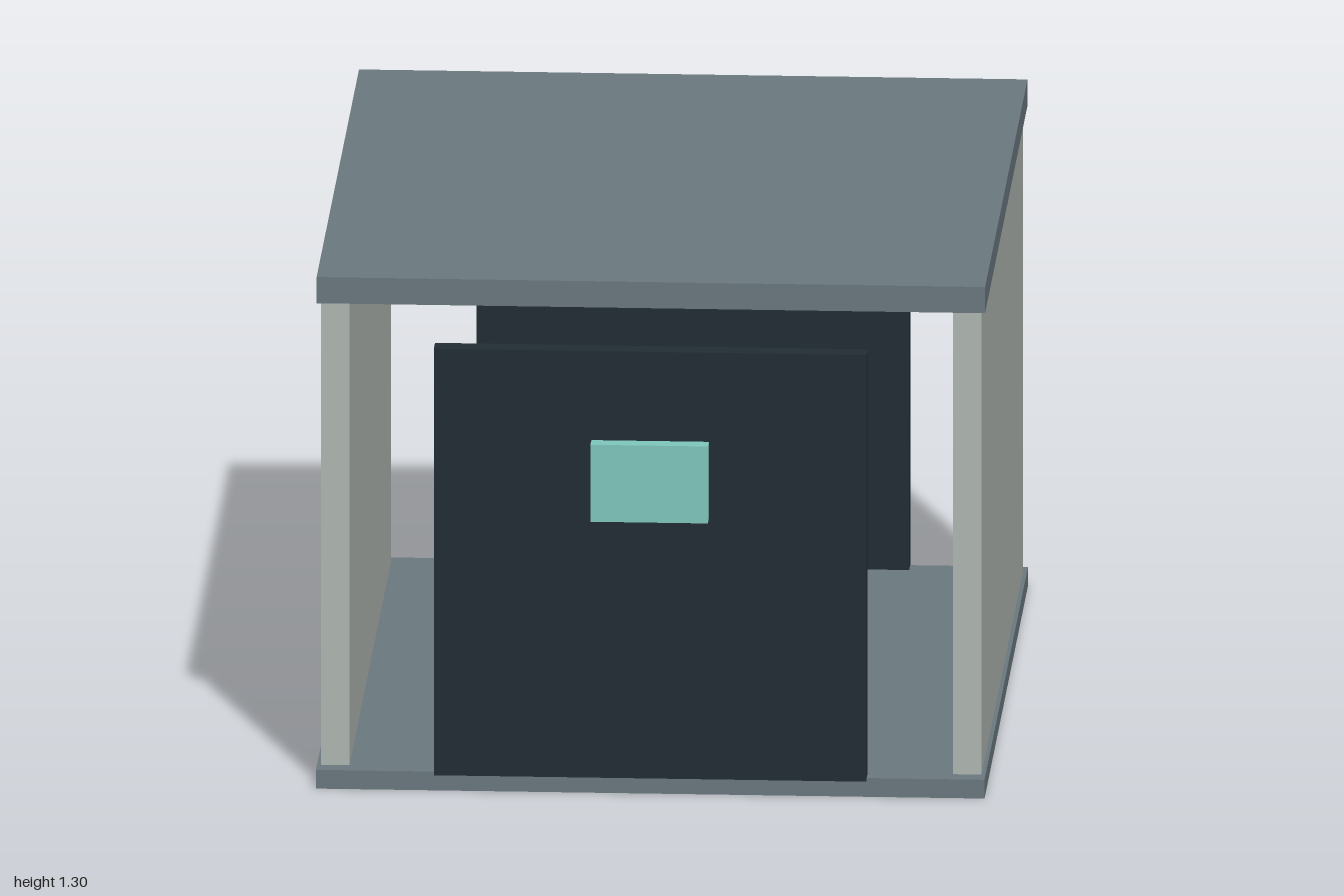
import * as THREE from 'three';

const mat = (name, color) => {
  const m = new THREE.MeshStandardMaterial({ color });
  m.name = name;
  return m;
};

export function createModel() {
  const model = new THREE.Group();
  model.name = 'shelter';

  const slate = mat('slate grey', 0x6b7980);
  const pale = mat('pale grey', 0xb0b8b4);
  const dark = mat('dark navy', 0x222d35);
  const teal = mat('teal', 0x80c8be);

  // Box given by its extents along each axis
  const box = (name, material, [x0, x1], [y0, y1], [z0, z1]) => {
    const mesh = new THREE.Mesh(new THREE.BoxGeometry(x1 - x0, y1 - y0, z1 - z0), material);
    mesh.position.set((x0 + x1) / 2, (y0 + y1) / 2, (z0 + z1) / 2);
    mesh.name = name;
    model.add(mesh);
  };

  // Floor and roof slabs
  box('floor', slate, [-0.825, 0.825], [0, 0.048], [-0.992, 0.952]);
  box('roof', slate, [-0.825, 0.825], [1.235, 1.302], [-0.97, 0.926]);

  // Side walls, sunk slightly into the floor
  box('leftWall', pale, [0.745, 0.815], [0.01, 1.235], [-0.943, 0.905]);
  box('rightWall', pale, [-0.815, -0.745], [0.01, 1.235], [-0.943, 0.905]);

  // Free-standing end panels
  box('frontPanel', dark, [-0.534, 0.534], [0.04, 1.132], [0.904, 0.957]);
  box('backPanel', dark, [-0.534, 0.534], [0.04, 1.132], [-1, -0.947]);

  // Sign block on the front panel
  box('sign', teal, [-0.145, 0.145], [0.707, 0.904], [0.957, 1]);

  return model;
}
